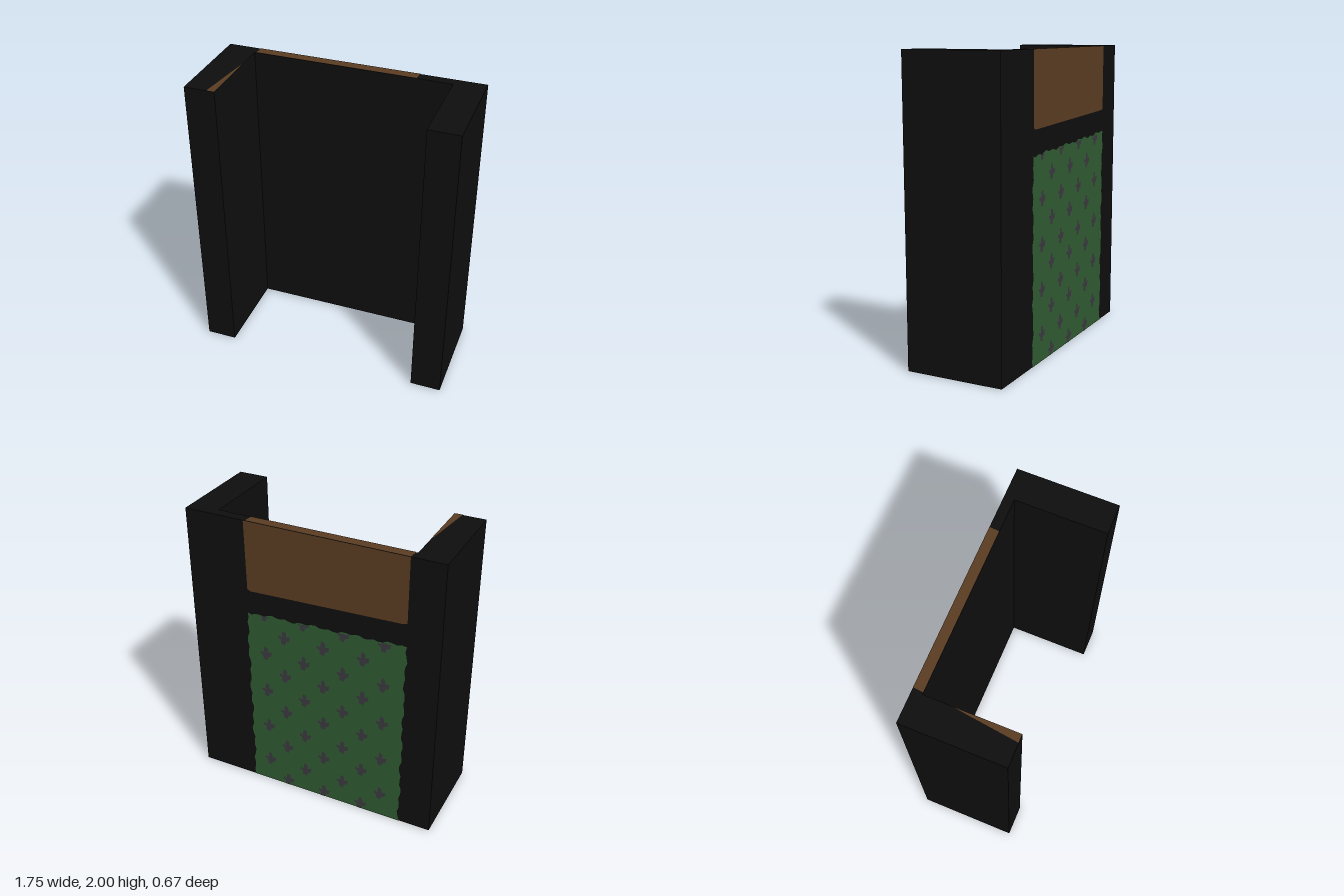
import * as THREE from 'three';

const W = 0.873, D = 0.333, H = 2, INNER = 0.667, PANEL = -0.267, GAP = 0.002;

const black = new THREE.MeshStandardMaterial({ name: 'black', color: 0x0e0e0e });
const brown = new THREE.MeshStandardMaterial({ name: 'brown', color: 0x593c22 });
const green = new THREE.MeshStandardMaterial({ name: 'green', color: 0x2f5a31 });
const grey = new THREE.MeshStandardMaterial({ name: 'dark grey', color: 0x3a383f });

const toShape = (points) => new THREE.Shape(points.map(([x, y]) => new THREE.Vector2(x, y)));

export function createModel() {
  const group = new THREE.Group();
  group.name = 'wallUnit';

  const add = (name, geometry, material) => {
    const mesh = new THREE.Mesh(geometry, material);
    mesh.name = name;
    group.add(mesh);
    return mesh;
  };

  // Flat painted faces: back points are (x, y), top and bottom points are (x, z)
  const paintBack = (name, points, material, gap = GAP) => {
    const geometry = new THREE.ShapeGeometry(toShape(points.map(([x, y]) => [-x, y])));
    geometry.rotateY(Math.PI);
    add(name, geometry, material).position.z = -D - gap;
  };
  const paintTop = (name, points, material) => {
    const geometry = new THREE.ShapeGeometry(toShape(points.map(([x, z]) => [x, -z])));
    geometry.rotateX(-Math.PI / 2);
    add(name, geometry, material).position.y = H + GAP;
  };
  const paintBottom = (name, points, material) => {
    const geometry = new THREE.ShapeGeometry(toShape(points));
    geometry.rotateX(Math.PI / 2);
    add(name, geometry, material).position.y = -GAP;
  };

  // U-shaped body: thin back wall with a deep pillar at each side
  const plan = [
    [-W, -D], [-INNER, -D], [-INNER, -PANEL], [INNER, -PANEL],
    [INNER, -D], [W, -D], [W, D], [-W, D],
  ];
  const body = new THREE.ExtrudeGeometry(toShape(plan), { depth: H, bevelEnabled: false });
  body.rotateX(-Math.PI / 2);
  add('body', body, black);

  // Brown band on the upper back, carried over the top edge
  paintBack('upperBand', [[0.455, H], [0.45, 1.525], [0.43, 1.513], [-0.62, 1.55], [-0.65, 1.56], [-0.65, H]], brown);
  paintTop('topBand', [[-0.65, -D], [0.44, -D], [0.435, PANEL], [-0.655, PANEL]], brown);
  const wedge = [[-0.72, D], [-INNER, D], [-INNER, -0.09], [-0.68, 0]];
  paintTop('pillarTopWedge', wedge, brown);
  paintBottom('pillarBottomWedge', wedge, brown);

  // Green panel with ragged edges, carried under the bottom edge
  const L = 0.46, R = -0.65, N = 36;
  const ragged = (i) => 0.007 * Math.sin(i * 1.9) + 0.005 * Math.sin(i * 0.7);
  const topY = (t) => 1.352 + 0.045 * t;
  const outline = [];
  for (let i = 0; i <= N; i++) outline.push([L + ragged(i), topY(0) * i / N]);
  for (let i = 1; i < N; i++) outline.push([L + (R - L) * i / N, topY(i / N) + ragged(i + 5)]);
  for (let i = N; i >= 0; i--) outline.push([R + ragged(i + 9), topY(1) * i / N]);
  paintBack('greenPanel', outline, green);
  paintBottom('bottomBand', [[R, -D], [L, -D], [L, PANEL], [R, PANEL]], green);

  // Staggered sprigs on the green panel
  const sprig = [
    [-1, 8], [2, 6], [2, 2], [6, 3], [5, -2], [2, -3], [1, -7],
    [-3, -6], [-3, -2], [-6, 0], [-5, 2], [-2, 1], [-2, 5],
  ];
  for (let col = 0; col < 7; col++) {
    const x = 0.332 - col * 0.14;
    const limit = topY((L - x) / (L - R)) - 0.005;
    for (let row = 0; row < 5; row++) {
      const y = (col % 2 ? 1.224 : 1.365) - row * 0.295;
      const points = sprig.map(([u, v]) => [
        x - u * 0.0075,
        THREE.MathUtils.clamp(y + v * 0.0072, 0, limit),
      ]);
      paintBack('sprig', points, grey, GAP * 2);
    }
  }

  return group;
}
